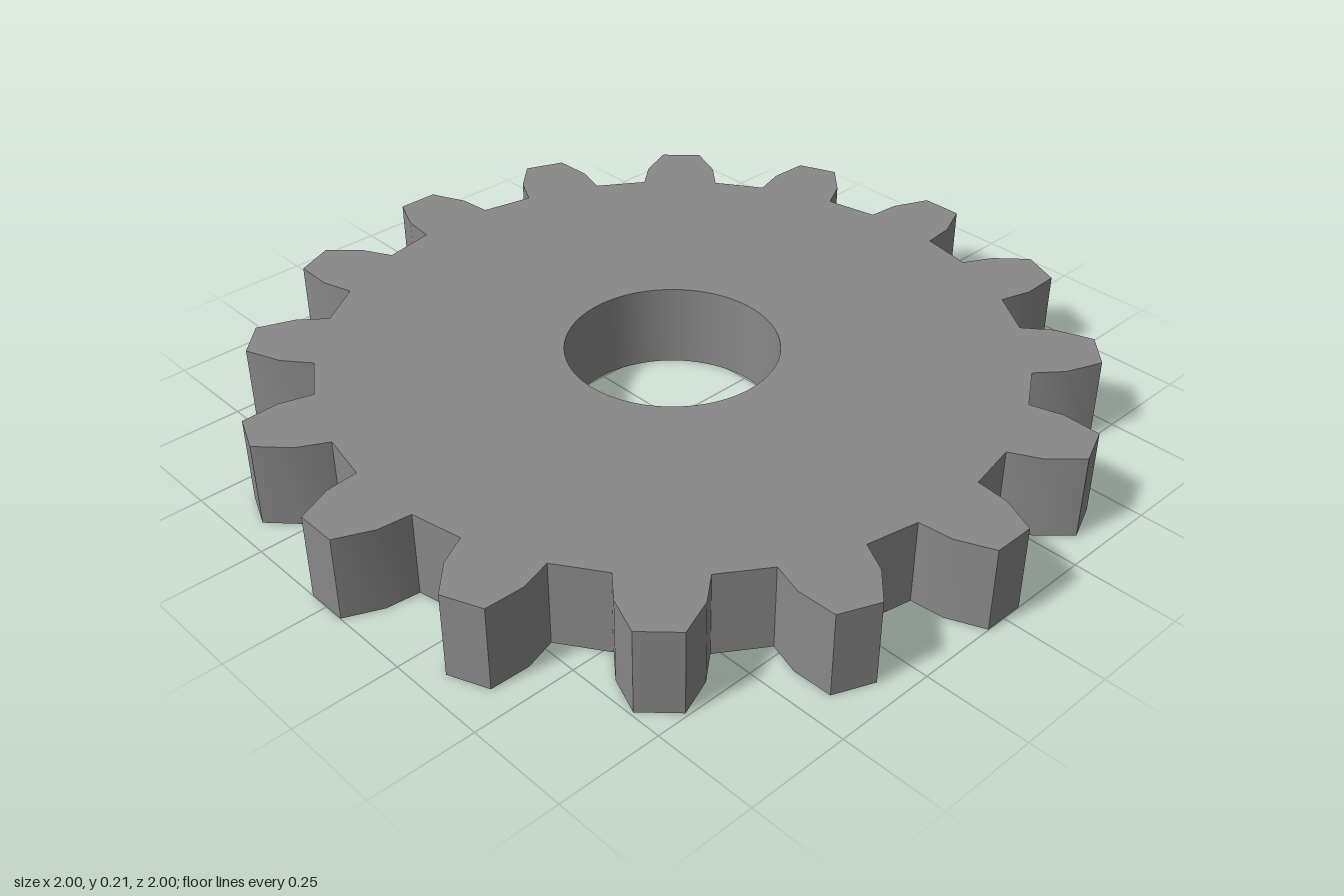
import * as THREE from 'three';
import { toCreasedNormals } from 'three/addons/utils/BufferGeometryUtils.js';

const TEETH = 16;
const THICKNESS = 0.21;
const BORE_RADIUS = 0.255;

// One tooth pointing along +x: [radial, sideways] from root to tip, mirrored
const FLANK = [[0.83, 0.098], [0.911, 0.09], [0.999, 0.051]];
const TOOTH = [
  ...FLANK.map(([r, s]) => new THREE.Vector2(r, -s)),
  ...FLANK.map(([r, s]) => new THREE.Vector2(r, s)).reverse(),
];

export function createModel() {
  const group = new THREE.Group();
  group.name = 'spurGear';

  // Toothed outline: the tooth repeated around the centre
  const outline = [];
  const centre = new THREE.Vector2();
  for (let i = 0; i < TEETH; i++) {
    const angle = (i / TEETH) * Math.PI * 2;
    for (const p of TOOTH) outline.push(p.clone().rotateAround(centre, angle));
  }
  const shape = new THREE.Shape(outline);

  // Round bore for the shaft
  const bore = new THREE.Path();
  bore.absarc(0, 0, BORE_RADIUS, 0, Math.PI * 2, true);
  shape.holes.push(bore);

  // Extrude and lay flat; the flanks and bore stay smooth, other edges sharp
  const extruded = new THREE.ExtrudeGeometry(shape, {
    depth: THICKNESS, bevelEnabled: false, curveSegments: 64,
  });
  extruded.rotateX(-Math.PI / 2);
  const geometry = toCreasedNormals(extruded, 0.5);

  // Dark grey metal wheel
  const gear = new THREE.Mesh(geometry, new THREE.MeshStandardMaterial({ color: 0x888888 }));
  gear.name = 'gearWheel';
  group.add(gear);
  return group;
}
